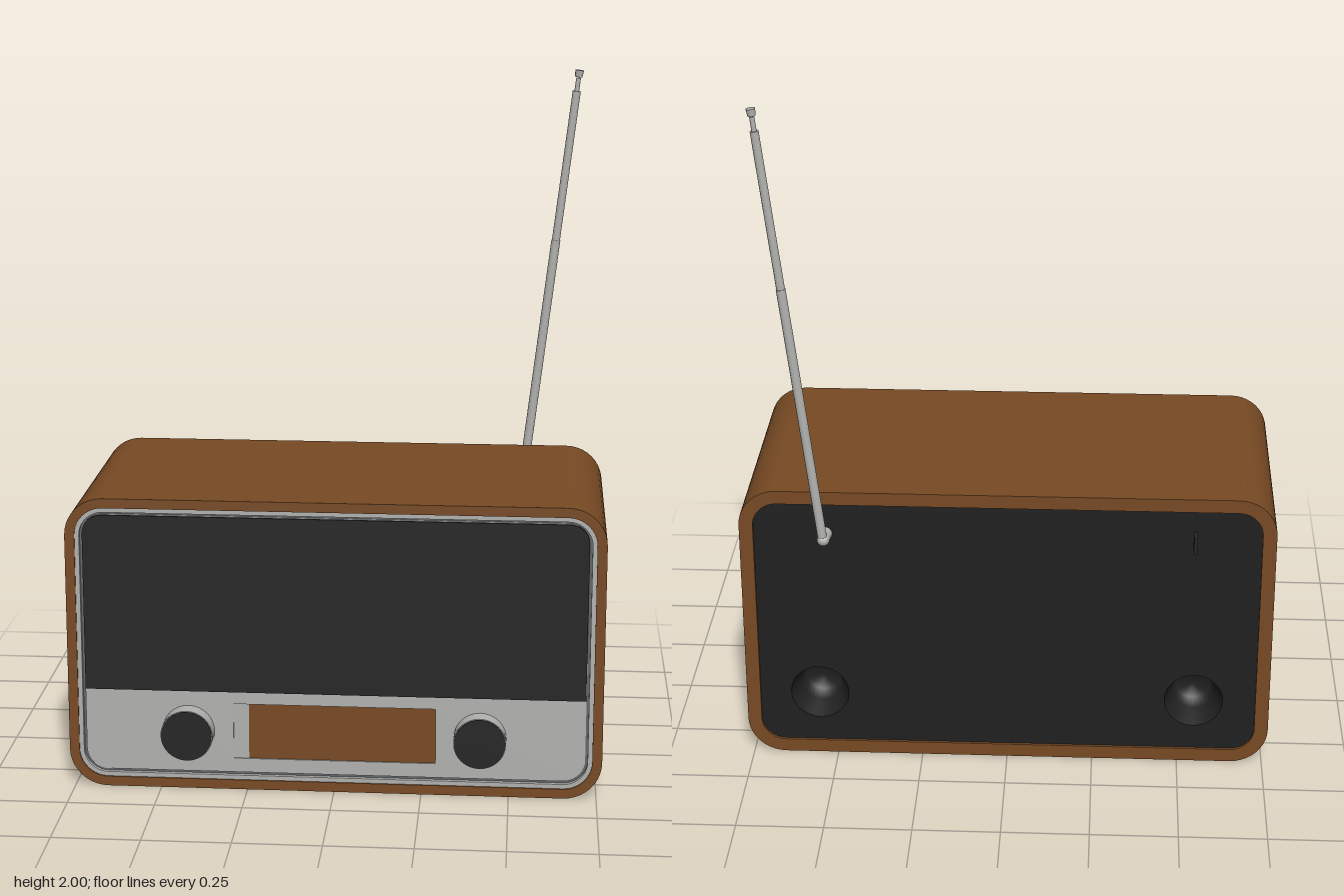
import * as THREE from 'three';
import { toCreasedNormals } from 'three/addons/utils/BufferGeometryUtils.js';

const W = 0.765, H = 0.86, BACK = -0.355, FRONT = 0.362;

const mat = (name, color, side = THREE.FrontSide) => {
  const m = new THREE.MeshStandardMaterial({ color, side });
  m.name = name;
  return m;
};

// Rounded rectangle traced counter-clockwise; separate radii for bottom and top corners
function roundedRect(x0, y0, x1, y1, rb, rt = rb, Type = THREE.Shape) {
  const s = new Type();
  s.moveTo(x0 + rb, y0);
  s.lineTo(x1 - rb, y0);
  if (rb) s.absarc(x1 - rb, y0 + rb, rb, -Math.PI / 2, 0);
  s.lineTo(x1, y1 - rt);
  if (rt) s.absarc(x1 - rt, y1 - rt, rt, 0, Math.PI / 2);
  s.lineTo(x0 + rt, y1);
  if (rt) s.absarc(x0 + rt, y1 - rt, rt, Math.PI / 2, Math.PI);
  s.lineTo(x0, y0 + rb);
  if (rb) s.absarc(x0 + rb, y0 + rb, rb, Math.PI, Math.PI * 1.5);
  return s;
}

// Cabinet outline moved inward by a distance
const outline = (inset, Type) =>
  roundedRect(-W + inset, inset, W - inset, H - inset, 0.11 - inset, 0.11 - inset, Type);

function ring(outer, inner) {
  const s = outline(outer);
  s.holes.push(outline(inner, THREE.Path));
  return s;
}

export function createModel() {
  const model = new THREE.Group();
  model.name = 'radio';
  const wood = mat('brown wood', 0x784a24);
  const silver = mat('silver', 0xb2b3b0);
  const grey = mat('groove grey', 0x62666a);
  const dark = mat('grille black', 0x262626);
  const backDark = mat('back panel black', 0x202020, THREE.DoubleSide);

  const add = (name, geometry, material, x = 0, y = 0, z = 0, parent = model) => {
    const mesh = new THREE.Mesh(geometry, material);
    mesh.name = name;
    mesh.position.set(x, y, z);
    parent.add(mesh);
    return mesh;
  };
  const slab = (name, shape, z0, z1, material) => {
    const g = new THREE.ExtrudeGeometry(shape, { depth: z1 - z0, bevelEnabled: false, curveSegments: 5 });
    return add(name, toCreasedNormals(g, 0.6), material, 0, 0, z0);
  };

  // Wooden cabinet sleeve
  slab('cabinet', ring(0, 0.028), BACK, FRONT, wood);
  slab('backRim', ring(0.027, 0.04), BACK, BACK + 0.03, wood);

  // Front trim, fascia and grille
  slab('frontTrim', ring(0.026, 0.041), 0.32, 0.358, silver);
  slab('trimGroove', ring(0.04, 0.052), 0.32, 0.346, grey);
  const fascia = outline(0.048);
  fascia.holes.push(roundedRect(-0.29, 0.09, 0.29, 0.255, 0, 0, THREE.Path));
  slab('fascia', fascia, 0.32, 0.35, silver);
  slab('grille', roundedRect(-0.716, 0.292, 0.716, 0.81, 0, 0.055), 0.345, 0.356, dark);

  // Display window with a narrow silver strip at one end
  add('display', new THREE.BoxGeometry(0.536, 0.165, 0.008), wood, 0.022, 0.1725, 0.342);
  add('displayStrip', new THREE.BoxGeometry(0.044, 0.165, 0.008), silver, -0.268, 0.1725, 0.342);

  // Control knobs with dark caps
  for (const [name, x] of [['rightKnob', -0.42], ['leftKnob', 0.417]]) {
    const knob = new THREE.Group();
    knob.name = name;
    knob.position.set(x, 0.172, 0);
    model.add(knob);
    add('knobBody', new THREE.CylinderGeometry(0.075, 0.075, 0.055, 32), silver, 0, 0, 0.3715, knob).rotation.x = Math.PI / 2;
    add('knobCap', new THREE.CylinderGeometry(0.073, 0.073, 0.004, 32), dark, 0, 0, 0.4, knob).rotation.x = Math.PI / 2;
  }

  // Recessed back panel with two round ports
  const back = outline(0.039);
  const ports = [-0.545, 0.55];
  for (const x of ports) {
    const hole = new THREE.Path();
    hole.absarc(x, 0.2, 0.085, 0, Math.PI * 2, true);
    back.holes.push(hole);
  }
  const panel = new THREE.ExtrudeGeometry(back, { depth: 0.015, bevelEnabled: false, curveSegments: 14 });
  add('backPanel', toCreasedNormals(panel, 0.6), backDark, 0, 0, BACK + 0.008);
  const dish = [[0, 0.1], [0.05, 0.1], [0.062, 0.06], [0.085, 0]].map(p => new THREE.Vector2(...p));
  for (const x of ports) {
    add('port', new THREE.LatheGeometry(dish, 28), backDark, x, 0.2, BACK + 0.01).rotation.x = Math.PI / 2;
  }

  // Small rear switch
  add('rearSwitch', new THREE.BoxGeometry(0.01, 0.05, 0.05), dark, -0.535, 0.73, -0.365);

  // Antenna: pivot, leaning telescopic rod and tip
  add('antennaPivot', new THREE.CylinderGeometry(0.018, 0.022, 0.045, 16), silver, 0.52, 0.725, -0.365).rotation.x = -Math.PI / 2;
  add('antennaJoint', new THREE.SphereGeometry(0.018, 16, 12), silver, 0.52, 0.725, -0.386);
  const antenna = new THREE.Group();
  antenna.name = 'antenna';
  antenna.position.set(0.52, 0.715, -0.387);
  antenna.rotation.z = -Math.atan2(0.15, 1.275);
  model.add(antenna);
  const sections = [[0, 0.78, 0.0135], [0.78, 1.23, 0.012], [1.23, 1.27, 0.007]];
  for (const [y0, y1, r] of sections) {
    add('antennaSection', new THREE.CylinderGeometry(r, r, y1 - y0, 12), silver, 0, (y0 + y1) / 2, 0, antenna);
  }
  add('antennaTip', new THREE.CylinderGeometry(0.013, 0.011, 0.02, 12), silver, 0, 1.2825, 0, antenna);

  return model;
}
